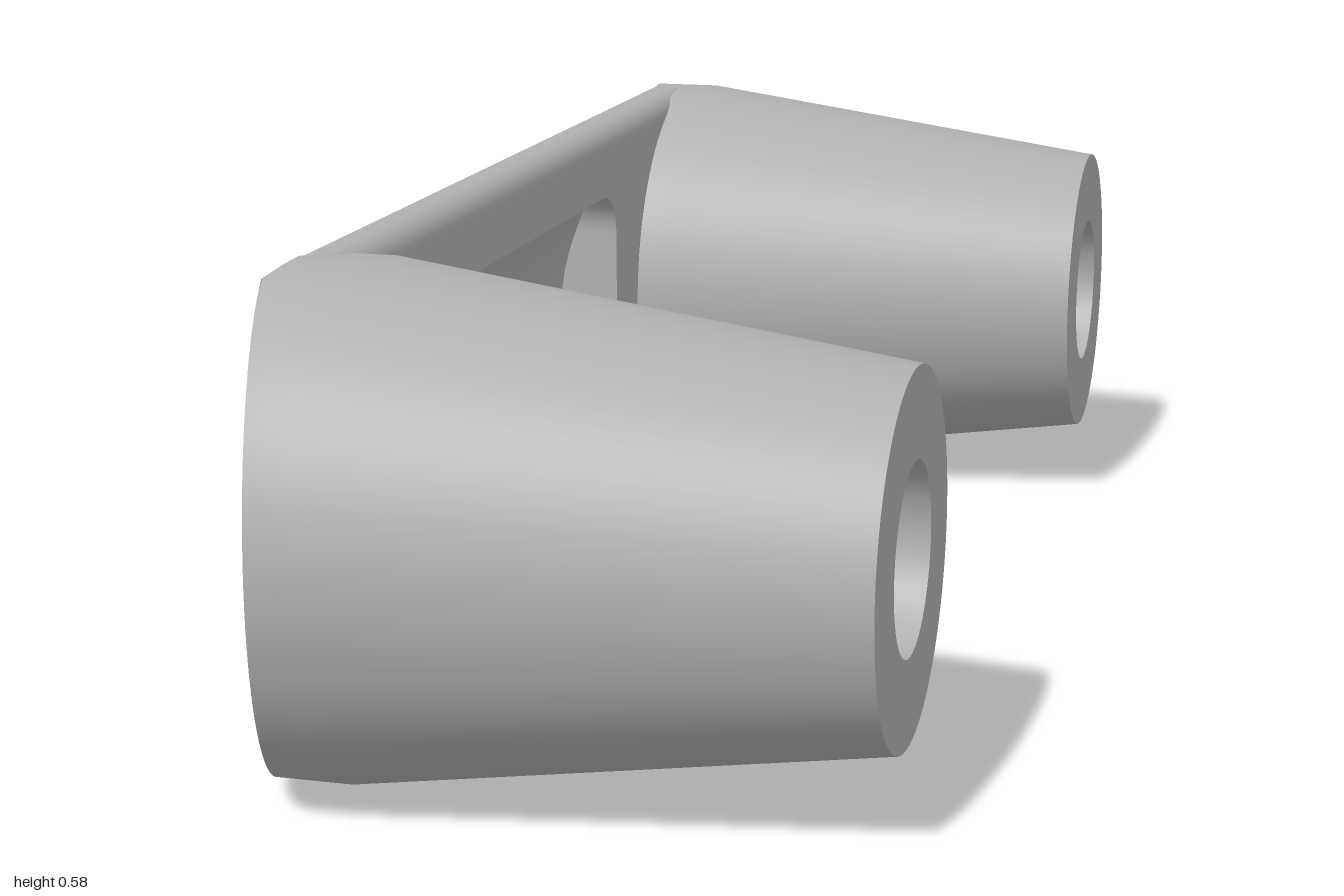
import * as THREE from 'three';

const R = 0.289, LEG_Z = 0.711, BORE = 0.2175, HOLE = 0.105, TIP = 0.205;
const FACE_X = -0.225, FLOOR_X = -0.31, SEG = 96;

const metal = new THREE.MeshStandardMaterial({ color: 0xb0b0b0, side: THREE.DoubleSide });
metal.name = 'plain grey';

// Surface through rows of equally many points; smooth inside, sharp between meshes
function loft(name, rows, closed = false) {
  const n = rows[0].length, index = [];
  for (let i = 0; i < rows.length - 1; i++) {
    for (let j = 0; j < (closed ? n : n - 1); j++) {
      const k = (j + 1) % n;
      const a = i * n + j, b = a + n, c = i * n + k, d = c + n;
      index.push(a, b, c, c, b, d);
    }
  }
  const g = new THREE.BufferGeometry();
  g.setAttribute('position', new THREE.Float32BufferAttribute(rows.flat(2), 3));
  g.setIndex(index);
  g.computeVertexNormals();
  return named(name, g);
}

function named(name, geometry) {
  const m = new THREE.Mesh(geometry, metal);
  m.name = name;
  return m;
}

// Bowed back of the bar, slanted end plane, and the line where they meet
const bow = (y) => -Math.sqrt(0.16 - y * y);
const slant = (z) => -0.4 + 0.29 * (z - 0.4);
const crease = (y) => 0.4 + (bow(y) + 0.4) / 0.29;
const circleZ = (y) => LEG_Z + Math.sqrt(Math.max(0, R * R - y * y));

const loop = (f) => Array.from({ length: SEG }, (_, i) => f((i / SEG) * Math.PI * 2));
const circle = (x, r) => loop((t) => [x, r * Math.sin(t), LEG_Z + r * Math.cos(t)]);

function createLeg() {
  const leg = new THREE.Group();
  leg.name = 'leg';
  // Tapered sleeve; its inner half stops just inside the bar
  const root = loop((t) => {
    const y = R * Math.sin(t), z = LEG_Z + R * Math.cos(t);
    return [Math.cos(t) < -0.01 ? -0.235 : Math.max(slant(z), bow(y)), y, z];
  });
  const boreMouth = loop((t) => {
    const z = LEG_Z + BORE * Math.cos(t);
    return [slant(z), BORE * Math.sin(t), z];
  });
  const plateEdge = loop((t) => {
    const y = THREE.MathUtils.clamp(R * Math.sin(t), -0.278, 0.278);
    const z = Math.cos(t) > 0.263 ? circleZ(y) : Math.min(crease(y), circleZ(y));
    return [slant(z), y, z];
  });
  leg.add(
    loft('legSleeve', [root, circle(-0.19, R), circle(0.4, TIP)], true),
    loft('legTip', [circle(0.4, TIP), circle(0.4, HOLE)], true),
    loft('screwHole', [circle(0.4, HOLE), circle(0.1, HOLE)], true),
    loft('boreFloor', [circle(0.1, HOLE), circle(0.1, BORE)], true),
    loft('bore', [circle(0.1, BORE), boreMouth], true),
    loft('slantedEnd', [boreMouth, plateEdge], true),
  );
  return leg;
}

function createBar() {
  const bar = new THREE.Group();
  bar.name = 'bar';

  // Half profile [x, y, end z]: bowed back, rounded top edge, inner fillet
  const half = [];
  for (let i = 0; i <= 24; i++) {
    const y = (0.278 * i) / 24;
    half.push([bow(y), y, Math.min(crease(y), circleZ(y))]);
  }
  half.push([-0.28, 0.285, circleZ(0.285)], [-0.268, R, LEG_Z]);
  for (let i = 0; i <= 8; i++) {
    const a = (i / 8) * Math.PI / 2;
    half.push([-0.255 + 0.03 * Math.sin(a), 0.259 + 0.03 * Math.cos(a), LEG_Z]);
  }
  const lower = half.slice(1).reverse().map(([x, y, z]) => [x, -y, z]);
  const profile = [...lower, ...half];
  bar.add(loft('barShell', [-1, 1].map((s) => profile.map(([x, y, z]) => [x, y, s * z]))));

  // Rounded rectangle of the pocket as [y, half width] steps
  const corner = [];
  for (let i = 0; i <= 10; i++) {
    const a = (i / 10) * Math.PI / 2;
    corner.push([0.13 + 0.06 * Math.sin(a), 0.255 + 0.06 * Math.cos(a)]);
  }
  const steps = corner.slice().reverse().map(([y, w]) => [-y, w]);
  for (let i = 1; i < 14; i++) steps.push([-0.13 + (0.26 * i) / 14, 0.315]);
  steps.push(...corner);
  const rim = [...steps, ...steps.slice().reverse().map(([y, w]) => [y, -w])];
  const floorX = (y) => FLOOR_X + 0.36 - Math.sqrt(0.36 ** 2 - y * y);

  // Flat inner face between the legs, with the pocket cut out
  const q = Math.PI / 2, r = 0.255, h = 0.259;
  const face = new THREE.Shape();
  face.moveTo(-LEG_Z, -h);
  face.lineTo(LEG_Z, -h);
  face.lineTo(LEG_Z, -r);
  face.absarc(LEG_Z, 0, r, -q, q, true);
  face.lineTo(LEG_Z, h);
  face.lineTo(-LEG_Z, h);
  face.lineTo(-LEG_Z, r);
  face.absarc(-LEG_Z, 0, r, q, -q, true);
  face.closePath();
  face.holes.push(new THREE.Path(rim.map(([y, z]) => new THREE.Vector2(z, y))));
  const faceGeo = new THREE.ShapeGeometry(face, 40);
  faceGeo.rotateY(Math.PI / 2).translate(FACE_X, 0, 0);
  bar.add(named('innerFace', faceGeo));

  // Pocket walls and hollow floor
  bar.add(
    loft('pocketWall', [
      rim.map(([y, z]) => [FACE_X, y, z]),
      rim.map(([y, z]) => [floorX(y), y, z]),
    ], true),
    loft('pocketFloor', steps.map(([y, w]) => [[floorX(y), y, -w], [floorX(y), y, w]])),
  );
  return bar;
}

export function createModel() {
  const model = new THREE.Group();
  model.name = 'handle';
  const frontLeg = createLeg();
  frontLeg.name = 'frontLeg';
  const backLeg = createLeg();
  backLeg.name = 'backLeg';
  backLeg.rotation.x = Math.PI;
  const body = new THREE.Group();
  body.name = 'handleBody';
  body.add(createBar(), frontLeg, backLeg);
  body.position.y = R;
  model.add(body);
  return model;
}
